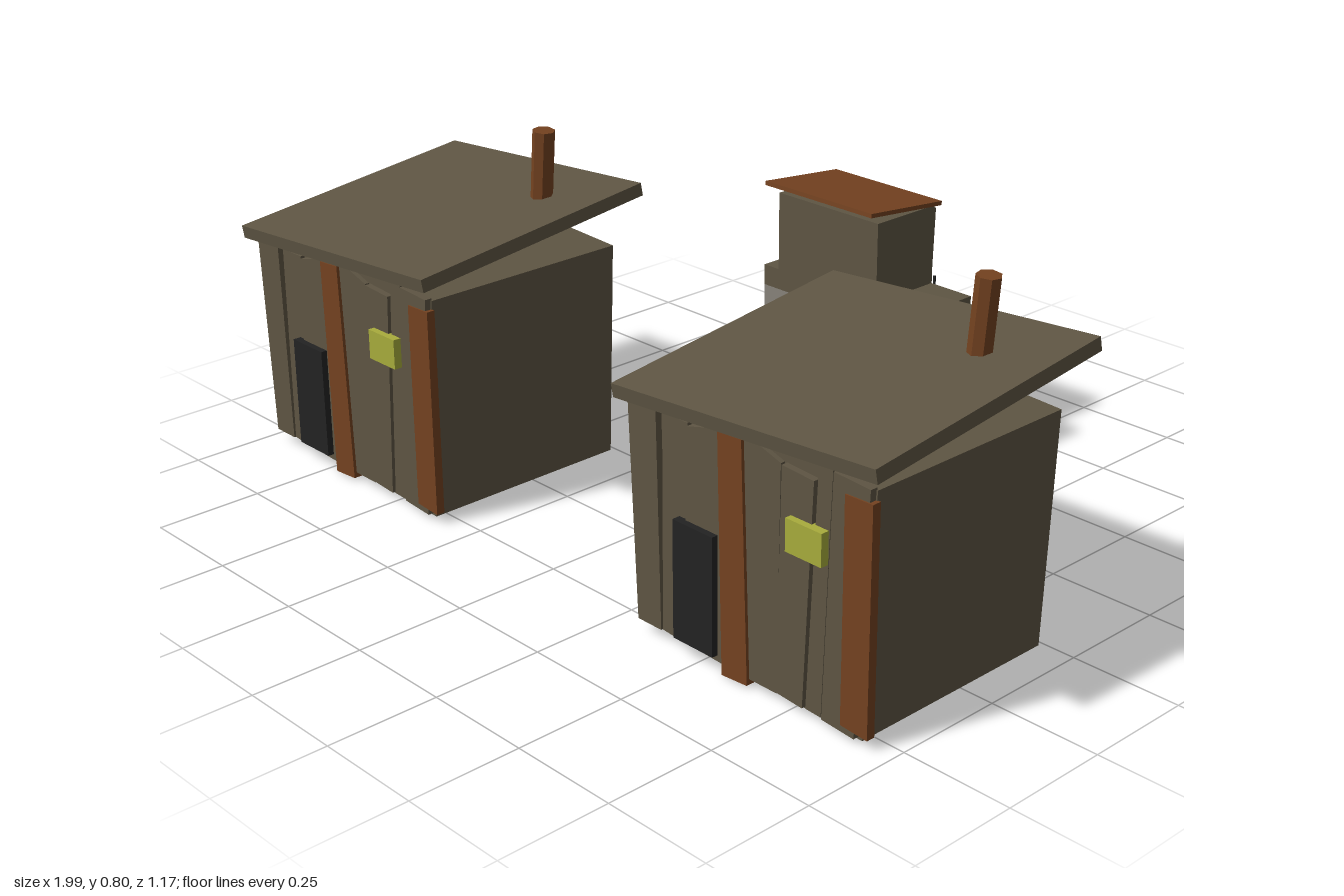
import * as THREE from 'three';

const mat = (name, color) => {
  const m = new THREE.MeshStandardMaterial({ color });
  m.name = name;
  return m;
};

export function createModel() {
  const wood = mat('weatheredWood', 0x5e5543);
  const rust = mat('rust', 0x744220);
  const stone = mat('paleStone', 0x87827a);
  const sign = mat('yellowSign', 0xa8ac3c);
  const dark = mat('darkDoor', 0x232323);

  const add = (parent, name, geo, material, x = 0, y = 0, z = 0) => {
    const m = new THREE.Mesh(geo, material);
    m.name = name;
    m.position.set(x, y, z);
    parent.add(m);
    return m;
  };

  // Box given by its limits on each axis
  const span = (parent, name, material, [x0, x1], [y0, y1], [z0, z1]) =>
    add(parent, name, new THREE.BoxGeometry(x1 - x0, y1 - y0, z1 - z0), material,
      (x0 + x1) / 2, (y0 + y1) / 2, (z0 + z1) / 2);

  // Uneven upright board: corners bottom-left, bottom-right, top-right, top-left
  const board = (parent, name, material, corners, z, depth) => {
    const shape = new THREE.Shape(corners.map(([x, y]) => new THREE.Vector2(x, y)));
    return add(parent, name,
      new THREE.ExtrudeGeometry(shape, { depth, bevelEnabled: false }), material, 0, 0, z);
  };

  const model = new THREE.Group();
  model.name = 'shantyHuts';

  // Large hut, x measured from the middle of its roof
  const makeHut = (x) => {
    const hut = new THREE.Group();
    hut.name = 'hut';
    hut.position.x = x;
    model.add(hut);

    const body = add(hut, 'hutBody', new THREE.BoxGeometry(0.605, 0.52, 0.515), wood, -0.01, 0.278, 0.2725);
    body.rotation.z = -0.042;

    const roof = add(hut, 'hutRoof', new THREE.BoxGeometry(0.7, 0.03, 0.625), wood, 0, 0.595, 0.272);
    roof.rotation.set(0.12, 0, 0.078);

    const chimney = add(hut, 'chimney', new THREE.CylinderGeometry(0.026, 0.026, 0.23, 7).toNonIndexed(), rust, 0.193, 0.685, 0.126);
    chimney.geometry.computeVertexNormals();
    chimney.rotation.z = -0.087;

    // Uneven planks across the front
    [
      [[-0.32, 0.03], [-0.252, 0.03], [-0.262, 0.525], [-0.343, 0.52]],
      [[-0.251, 0.03], [-0.188, 0.025], [-0.176, 0.505], [-0.247, 0.505]],
      [[-0.186, 0.03], [-0.07, 0.025], [-0.08, 0.525], [-0.174, 0.5]],
      [[-0.01, 0.02], [0.068, 0.02], [0.074, 0.505], [-0.024, 0.535]],
      [[0.07, 0.025], [0.14, 0.02], [0.162, 0.5], [0.08, 0.505]],
      [[0.145, 0.02], [0.185, 0.018], [0.205, 0.535], [0.17, 0.54]],
      [[0.19, 0.018], [0.273, 0.012], [0.3, 0.53], [0.21, 0.535]],
    ].forEach((c, i) => board(hut, 'frontPlank', wood, c, 0.528, i % 2 ? 0.013 : 0.017));

    // Rusty posts, door and sign
    board(hut, 'middlePost', rust, [[-0.075, 0.003], [-0.005, 0.008], [-0.023, 0.522], [-0.087, 0.518]], 0.528, 0.02);
    board(hut, 'cornerPost', rust, [[0.241, 0.03], [0.309, 0.025], [0.309, 0.505], [0.241, 0.503]], 0.528, 0.02);
    span(hut, 'door', dark, [-0.2, -0.089], [0.04, 0.3], [0.53, 0.56]);
    span(hut, 'sign', sign, [0.105, 0.197], [0.343, 0.412], [0.53, 0.56]);
  };
  makeHut(-0.65);
  makeHut(0.642);

  // Small watch hut on stone legs, facing the back
  const tower = new THREE.Group();
  tower.name = 'watchHut';
  model.add(tower);
  for (const x of [-0.242, 0.143])
    span(tower, 'leg', stone, [x, x + 0.094], [0.025, 0.36], [-0.56, -0.37]);
  span(tower, 'platform', wood, [-0.242, 0.237], [0.36, 0.41], [-0.56, -0.37]);
  span(tower, 'cabin', wood, [-0.195, 0.117], [0.41, 0.6], [-0.561, -0.37]);
  const cap = add(tower, 'cabinRoof', new THREE.BoxGeometry(0.335, 0.01, 0.24), rust, -0.05, 0.612, -0.466);
  cap.rotation.x = -0.1;

  // Back planks of the cabin, tapered downward
  for (let i = 0; i < 5; i++) {
    const x = -0.193 + i * 0.062, low = 0.412 + (i % 2) * 0.015;
    board(tower, 'cabinPlank', wood,
      [[x + 0.006, low], [x + 0.054, low], [x + 0.06, 0.592], [x, 0.592]], -0.569, 0.009);
  }
  span(tower, 'cabinPost', rust, [-0.075, -0.025], [0.4, 0.585], [-0.573, -0.56]);

  // Hanging sign
  span(tower, 'signHanger', dark, [0.114, 0.119], [0.35, 0.425], [-0.573, -0.569]);
  span(tower, 'hangingSign', sign, [0.105, 0.128], [0.315, 0.352], [-0.583, -0.56]);

  return model;
}
